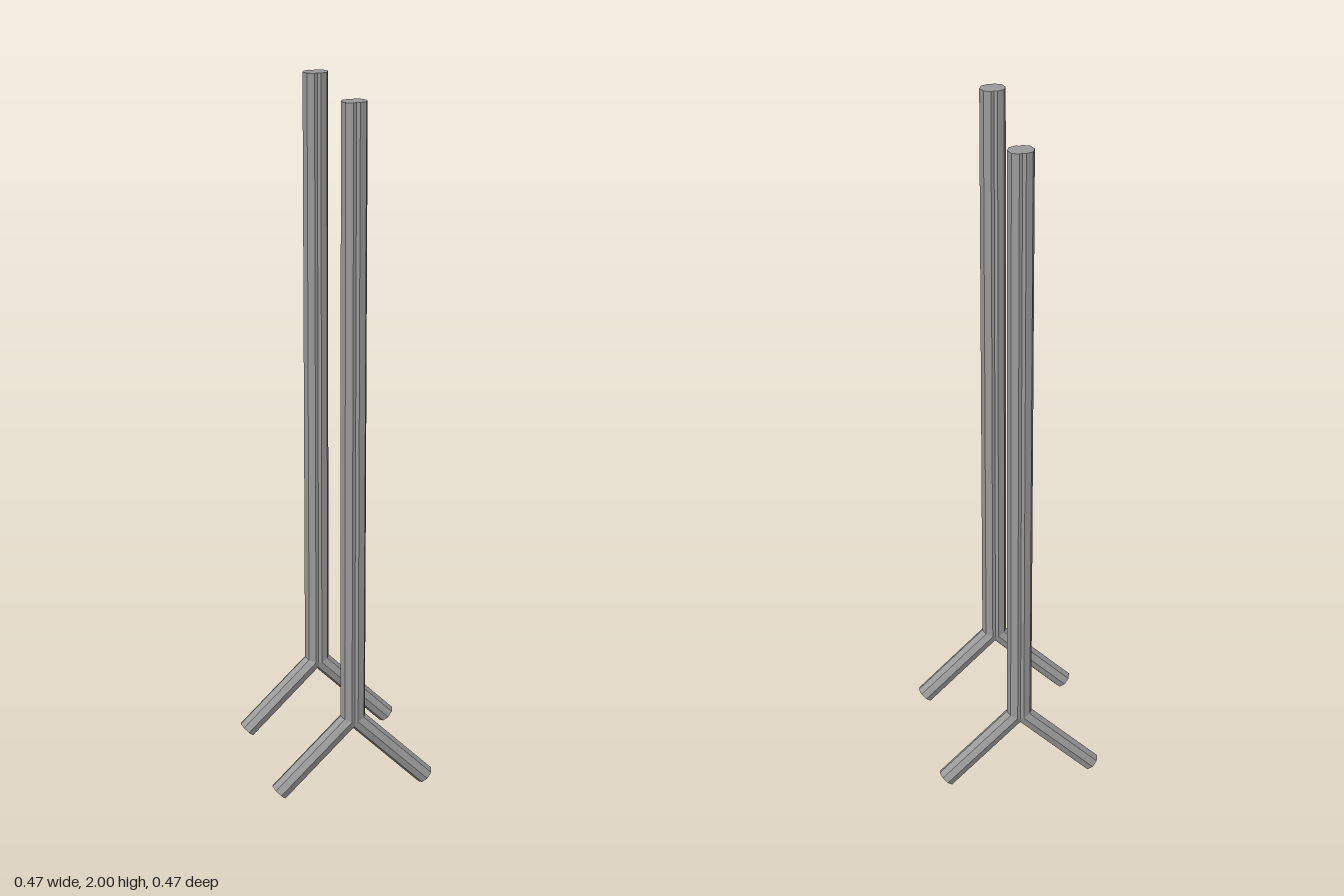
import * as THREE from 'three';

const R = 0.0272;      // tube radius
const AXIS_X = 0.009;  // offset of each post half from the middle
const TOP = 2, BEND = 0.225;
const FOOT_X = 0.2165, FOOT_Y = 0.0192;
const STAND_Z = 0.209;

// Eight-sided tube: upright, then mitred 45 degrees outwards to +x
function bentTube() {
  const geo = new THREE.CylinderGeometry(R, R, 2, 8, 2);
  const pos = geo.attributes.position;
  const miter = Math.tan(Math.PI / 8), c = Math.SQRT1_2;
  for (let i = 0; i < pos.count; i++) {
    const x = pos.getX(i), level = Math.round(pos.getY(i));
    if (level === 1) pos.setXY(i, AXIS_X + x, TOP);
    else if (level === 0) pos.setXY(i, AXIS_X + x, BEND + x * miter);
    else pos.setXY(i, FOOT_X + x * c, FOOT_Y + x * c);
  }
  geo.computeVertexNormals();
  return geo;
}

export function createModel() {
  const model = new THREE.Group();
  model.name = 'forkedStands';
  const material = new THREE.MeshStandardMaterial({ color: 0x9b9b9b, flatShading: true });
  const tube = bentTube();

  // Front and back stands, each of two mirrored bent tubes
  for (const [standName, z] of [['frontStand', STAND_Z], ['backStand', -STAND_Z]]) {
    const stand = new THREE.Group();
    stand.name = standName;
    stand.position.z = z;
    for (const [tubeName, turn] of [['leftBentTube', 0], ['rightBentTube', Math.PI]]) {
      const mesh = new THREE.Mesh(tube, material);
      mesh.name = tubeName;
      mesh.rotation.y = turn;
      stand.add(mesh);
    }
    model.add(stand);
  }
  return model;
}
